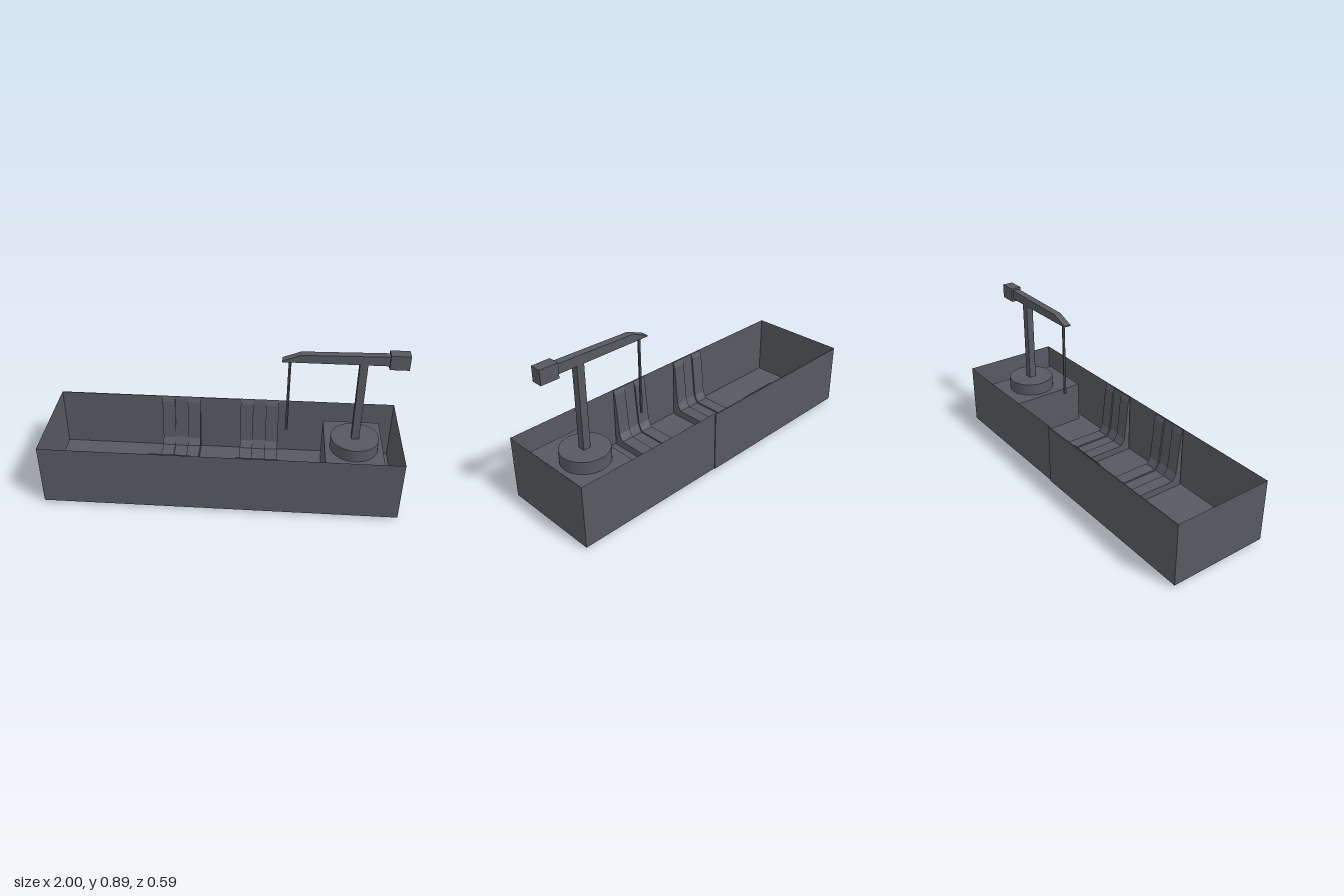
import * as THREE from 'three';

export function createModel() {
  const model = new THREE.Group();
  const steel = new THREE.MeshStandardMaterial({ color: 0x565960, side: THREE.DoubleSide, flatShading: true });
  steel.name = 'dark grey steel';

  const add = (name, geometry, parent = model) => {
    const mesh = new THREE.Mesh(geometry, steel);
    mesh.name = name;
    parent.add(mesh);
    return mesh;
  };
  // Box from its minimum and maximum corners
  const box = (name, [x0, y0, z0], [x1, y1, z1], parent) =>
    add(name, new THREE.BoxGeometry(x1 - x0, y1 - y0, z1 - z0), parent)
      .position.set((x0 + x1) / 2, (y0 + y1) / 2, (z0 + z1) / 2);

  const bottom = 0.015, rim = 0.38, front = 0.295, back = -0.289;

  // Open trough made of thin sheets
  const trough = new THREE.Group();
  trough.name = 'trough';
  model.add(trough);
  const sheet = (name, w, h, x, y, z, rx = 0, ry = 0) => {
    const m = add(name, new THREE.PlaneGeometry(w, h), trough);
    m.position.set(x, y, z);
    m.rotation.set(rx, ry, 0);
  };
  const height = rim - bottom, midY = (rim + bottom) / 2;
  const depth = front - back, midZ = (front + back) / 2;
  sheet('floor', 2, depth, 0, bottom, midZ, -Math.PI / 2);
  sheet('frontWall', 2, height, 0, midY, front);
  sheet('leftEndWall', depth, height, 1, midY, midZ, 0, Math.PI / 2);
  sheet('rightEndWall', depth, height, -1, midY, midZ, 0, -Math.PI / 2);
  // The back wall has two panels, one stepped slightly outward
  sheet('backWallLeft', 0.91, height, 0.545, midY, back, 0, Math.PI);
  box('backWallRight', [-1, bottom, -0.294], [0.09, rim - 0.004, back], trough);

  // U-shaped ribs: three strips each, the middle one recessed
  const ribGeometry = (width, recess) => {
    const half = [[0.287, rim], [0.274 + recess, 0.35], [0.25 + recess, 0.1], [0.225 + recess, 0.06 - recess]];
    const pts = [[0.287, bottom + 0.002], ...half, ...half.map(([z, y]) => [-z, y]).reverse(), [-0.287, bottom + 0.002]];
    const shape = new THREE.Shape(pts.map(([z, y]) => new THREE.Vector2(z, y)));
    return new THREE.ExtrudeGeometry(shape, { depth: width, bevelEnabled: false }).rotateY(Math.PI / 2);
  };
  for (const start of [-0.385, 0.09]) {
    const rib = new THREE.Group();
    rib.name = 'rib';
    model.add(rib);
    for (let i = 0; i < 3; i++) {
      add('ribStrip', ribGeometry(0.0767, i === 1 ? 0.009 : 0), rib).position.x = start + i * 0.0767;
    }
  }

  // Crane pedestal, passing through the floor
  const crane = new THREE.Group();
  crane.name = 'crane';
  model.add(crane);
  box('pedestal', [0.587, 0, -0.25], [0.918, 0.272, 0.255], crane);
  add('turntable', new THREE.CylinderGeometry(0.136, 0.136, 0.073, 48), crane).position.set(0.752, 0.3085, 0.002);
  crane.children[1].material = steel;

  // Mast, tapered boom, counterweight and hoist rope
  box('mast', [0.731, 0.345, -0.019], [0.774, 0.83, 0.023], crane);
  const boom = new THREE.Shape([[0.32, 0.828], [0.887, 0.828], [0.887, 0.883], [0.42, 0.874], [0.32, 0.835]]
    .map(([x, y]) => new THREE.Vector2(x, y)));
  add('boom', new THREE.ExtrudeGeometry(boom, { depth: 0.042, bevelEnabled: false }), crane).position.z = -0.019;
  box('counterweight', [0.885, 0.812, -0.029], [0.99, 0.895, 0.034], crane);
  add('hoistRope', new THREE.CylinderGeometry(0.008, 0.008, 0.45, 10), crane).position.set(0.362, 0.605, 0.002);

  return model;
}
